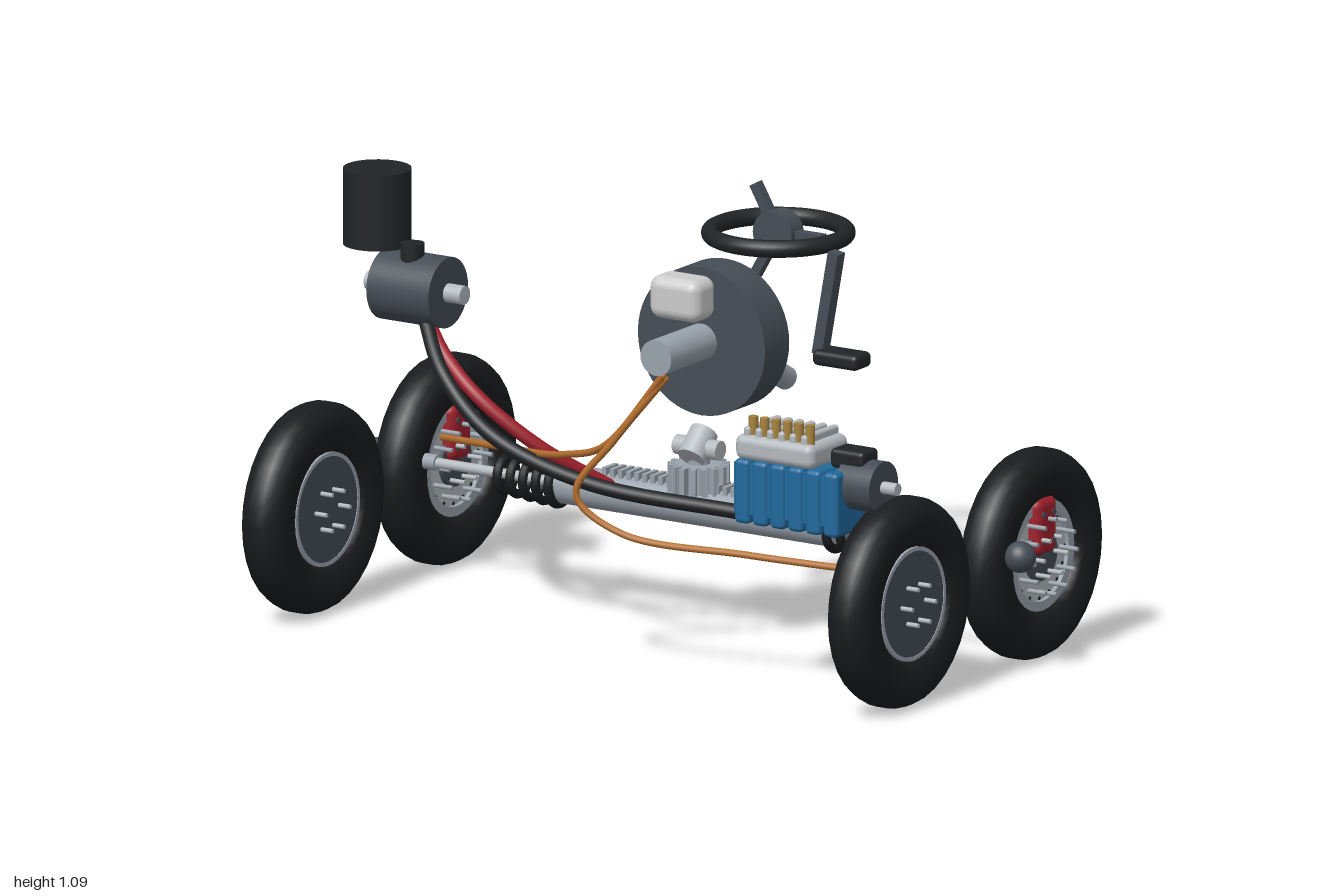
import * as THREE from 'three';
import { RoundedBoxGeometry } from 'three/addons/geometries/RoundedBoxGeometry.js';

const mat = (color) => new THREE.MeshStandardMaterial({ color });
const M = {
  rubber: mat(0x191b1e), black: mat(0x212427), dark: mat(0x454d56), steel: mat(0x9aa3ac),
  silver: mat(0xb4b9be), red: mat(0xa0202c), blue: mat(0x20699c), brass: mat(0xa88440),
  copper: mat(0xb5702f), white: mat(0xd6d6d2),
};
const V = (a) => new THREE.Vector3(...a);

export function createModel() {
  const model = new THREE.Group();

  const add = (parent, name, geometry, material, pos = [0, 0, 0], rot = [0, 0, 0]) => {
    const mesh = new THREE.Mesh(geometry, material);
    mesh.name = name;
    mesh.position.set(...pos);
    mesh.rotation.set(...rot);
    parent.add(mesh);
    return mesh;
  };
  const group = (name, parent = model, pos = [0, 0, 0]) => {
    const g = new THREE.Group();
    g.name = name;
    g.position.set(...pos);
    parent.add(g);
    return g;
  };
  const box = (p, name, size, m, pos, rot) => add(p, name, new THREE.BoxGeometry(...size), m, pos, rot);
  const round = (p, name, size, r, m, pos) => add(p, name, new RoundedBoxGeometry(...size, 4, r), m, pos);
  // Cylinder between two points
  const rod = (p, name, a, b, r, m, sides = 32) => {
    const s = V(a), e = V(b), d = e.clone().sub(s);
    const mesh = add(p, name, new THREE.CylinderGeometry(r, r, d.length(), sides), m);
    mesh.position.copy(s).add(e).multiplyScalar(0.5);
    mesh.quaternion.setFromUnitVectors(new THREE.Vector3(0, 1, 0), d.normalize());
    return mesh;
  };
  const hose = (name, pts, r, m) => {
    const curve = new THREE.CatmullRomCurve3(pts.map(V));
    add(model, name, new THREE.TubeGeometry(curve, 64, r, 10), m);
    [0, pts.length - 1].forEach((i) => add(model, name + 'End', new THREE.SphereGeometry(r, 10, 8), m, pts[i]));
  };
  // Ring whose axis is x, as a closed lathe profile
  const xRing = (p, name, inner, outer, width, m, x = 0) => add(p, name, new THREE.LatheGeometry(
    [[inner, -1], [outer, -1], [outer, -1], [outer, 1], [outer, 1], [inner, 1], [inner, 1], [inner, -1]]
      .map(([r, s]) => new THREE.Vector2(r, s * width / 2)), 40), m, [x, 0, 0], [0, 0, -Math.PI / 2]);
  const pins = (p, name, count, radius, half, r, m) => {
    for (let i = 0; i < count; i++) {
      const a = i / count * Math.PI * 2;
      const y = Math.sin(a) * radius, z = Math.cos(a) * radius;
      rod(p, name, [-half, y, z], [half, y, z], r, m, 8);
    }
  };

  // Wheels: tyre, then drum (z > 0) or drilled rotor with caliper (z < 0)
  const tyreProfile = [[0.143, -0.035], [0.16, -0.052], [0.2, -0.061], [0.232, -0.058], [0.256, -0.043], [0.266, -0.022],
    [0.268, 0], [0.266, 0.022], [0.256, 0.043], [0.232, 0.058], [0.2, 0.061], [0.16, 0.052], [0.143, 0.035], [0.143, -0.035]]
    .map((p) => new THREE.Vector2(...p));
  for (const x of [-0.875, 0.875]) for (const z of [-0.244, 0.352]) {
    const w = group(z > 0 ? 'drumWheel' : 'discWheel', model, [x, 0.268, z]);
    add(w, 'tyre', new THREE.LatheGeometry(tyreProfile, 32), M.rubber, [0, 0, 0], [0, 0, -Math.PI / 2]);
    if (z > 0) {
      xRing(w, 'rim', 0.135, 0.145, 0.09, M.steel);
      rod(w, 'drum', [-0.043, 0, 0], [0.043, 0, 0], 0.138, M.dark, 40);
    } else {
      xRing(w, 'rim', 0.118, 0.145, 0.07, M.steel);
      for (const s of [-1, 1]) xRing(w, 'rotorPlate', 0.06, 0.12, 0.012, M.silver, s * 0.018);
      for (let i = 0; i < 24; i++) {
        const a = i / 24 * Math.PI * 2;
        box(w, 'rotorVane', [0.026, 0.05, 0.005], M.steel, [0, Math.cos(a) * 0.092, Math.sin(a) * 0.092], [a, 0, 0]);
      }
      rod(w, 'hub', [-0.035, 0, 0], [0.035, 0, 0], 0.067, M.dark);
      pins(w, 'rotorPin', 12, 0.096, 0.077, 0.006, M.steel);
      pins(w, 'rotorHole', 16, 0.112, 0.026, 0.005, M.black);
      round(w, 'caliper', [0.108, 0.15, 0.095], 0.025, M.red, [0, 0.077, 0]);
      for (const dy of [0.04, 0.11]) for (const dz of [-0.022, 0.022])
        rod(w, 'caliperBolt', [-0.056, dy, dz], [0.056, dy, dz], 0.008, M.dark, 12);
    }
    pins(w, 'wheelBolt', 6, 0.053, 0.077, 0.006, M.silver);
  }

  // Steering rack with bellows, tie rods and ball joints
  const rack = group('steeringRack', model, [0, 0.307, -0.067]);
  rod(rack, 'rackTube', [-0.4, 0, 0], [0.4, 0, 0], 0.051, M.steel);
  for (let i = 0; i < 23; i++) box(rack, 'rackTooth', [0.013, 0.03, 0.055], M.steel, [-0.265 + i * 0.024, 0.05, 0]);
  for (const s of [-1, 1]) {
    for (let i = 0; i < 5; i++)
      add(rack, 'bellowsRing', new THREE.TorusGeometry(0.054 - i * 0.003, 0.012, 10, 28), M.rubber,
        [s * (0.415 + i * 0.04), 0, 0], [0, Math.PI / 2, 0]);
    rod(rack, 'tieRod', [s * 0.4, 0, 0], [s * 0.96, 0, 0], 0.013, M.silver, 16);
    rod(rack, 'tieRodEnd', [s * 0.78, 0, 0], [s * 0.96, 0, 0], 0.02, M.steel, 16);
    add(rack, 'ballJoint', new THREE.SphereGeometry(0.04, 24, 16), M.dark, [s * 0.96, 0, 0]);
  }

  // Pinion gear and universal joint
  const pinion = group('pinion', model, [0, 0.38, -0.067]);
  rod(pinion, 'gearBody', [0, -0.035, 0], [0, 0.035, 0], 0.058, M.steel);
  for (let i = 0; i < 16; i++) {
    const a = i / 16 * Math.PI * 2;
    box(pinion, 'gearTooth', [0.014, 0.07, 0.026], M.steel, [Math.sin(a) * 0.065, 0, Math.cos(a) * 0.065], [0, a, 0]);
  }
  rod(pinion, 'pinionStub', [0, 0, 0], [0, 0.075, 0], 0.028, M.steel);
  rod(pinion, 'jointCross', [-0.065, 0.075, 0], [0.065, 0.075, 0], 0.025, M.silver, 20);
  rod(pinion, 'jointYoke', [0, 0.055, 0.035], [0, 0.11, -0.025], 0.036, M.silver, 20);

  // Steering shaft and wheel
  rod(model, 'steeringShaft', [0, 0.812, 0.006], [0, 0.55, -0.462], 0.03, M.steel);
  const sw = group('steeringWheel', model, [0, 0.932, -0.426]);
  add(sw, 'wheelGrip', new THREE.TorusGeometry(0.171, 0.022, 14, 48), M.black, [0, 0, 0], [Math.PI / 2, 0, 0]);
  rod(sw, 'wheelHub', [0, 0, -0.028], [0, 0, 0.028], 0.058, M.dark);
  for (let i = 0; i < 3; i++) {
    const a = i * Math.PI * 2 / 3;
    box(sw, 'wheelSpoke', [0.135, 0.025, 0.025], M.dark, [Math.cos(a) * 0.068, Math.sin(a) * 0.068, 0], [0, 0, a]);
  }

  // Brake pedal
  box(model, 'pedalArm', [0.03, 0.27, 0.034], M.dark, [0.215, 0.802, -0.327], [0, 0, -0.18]);
  round(model, 'pedalPad', [0.135, 0.04, 0.075], 0.014, M.black, [0.255, 0.665, -0.327]);

  // Brake booster and master cylinder
  const booster = group('brakeBooster', model, [0.235, 0.832, 0]);
  rod(booster, 'boosterDrum', [0, 0, 0.167], [0, 0, 0.276], 0.19, M.dark, 48);
  rod(booster, 'masterCylinder', [0, 0, 0.27], [0, 0, 0.482], 0.046, M.steel);
  round(booster, 'fluidReservoir', [0.15, 0.11, 0.1], 0.03, M.white, [0, 0.133, 0.363]);

  // Power steering pump
  const pump = group('steeringPump', model, [0, 0.8, 0.105]);
  rod(pump, 'pumpBody', [-0.82, 0, 0], [-0.635, 0, 0], 0.09, M.dark, 36);
  rod(pump, 'pumpShaft', [-0.872, 0, 0], [-0.585, 0, 0], 0.024, M.silver, 24);
  rod(pump, 'pumpReservoir', [-0.842, 0.1, 0.007], [-0.842, 0.294, 0.007], 0.086, M.black, 36);
  rod(pump, 'pumpNeck', [-0.728, 0.07, 0.02], [-0.728, 0.12, 0.02], 0.03, M.black, 20);

  // Brake control block
  const block = group('brakeControlBlock');
  box(block, 'blockBody', [0.31, 0.13, 0.145], M.blue, [0.625, 0.535, 0.412]);
  for (let i = 0; i < 6; i++) {
    const x = 0.495 + i * 0.053;
    round(block, 'blockRib', [0.044, 0.165, 0.16], 0.012, M.blue, [x, 0.527, 0.412]);
  }
  round(block, 'blockCover', [0.235, 0.065, 0.175], 0.022, M.silver, [0.586, 0.638, 0.4]);
  for (let i = 0; i < 6; i++) {
    const x = 0.5 + i * 0.034;
    round(block, 'coverRib', [0.02, 0.03, 0.15], 0.008, M.silver, [x, 0.676, 0.4]);
    rod(block, 'blockTerminal', [x + 0.01, 0.66, 0.457], [x + 0.01, 0.717, 0.457], 0.012, M.brass, 12);
  }
  rod(block, 'blockMotor', [0.76, 0.57, 0.402], [0.862, 0.57, 0.402], 0.066, M.dark, 32);
  rod(block, 'motorShaft', [0.85, 0.57, 0.402], [0.905, 0.57, 0.402], 0.016, M.silver, 16);
  round(block, 'blockPlug', [0.1, 0.05, 0.075], 0.012, M.black, [0.775, 0.635, 0.402]);

  // Hoses and brake pipes
  hose('pressureHose', [[-0.7, 0.74, 0.115], [-0.6, 0.65, 0.165], [-0.49, 0.56, 0.176], [-0.35, 0.44, 0.11], [-0.24, 0.335, -0.02]], 0.018, M.red);
  hose('returnHose', [[-0.69, 0.74, 0.13], [-0.58, 0.62, 0.21], [-0.42, 0.49, 0.232], [-0.18, 0.39, 0.17], [0.195, 0.325, 0]], 0.019, M.black);
  hose('rearBrakePipe', [[0.235, 0.78, 0.45], [0.06, 0.58, 0.43], [-0.15, 0.495, 0.31], [-0.5, 0.41, 0.05], [-0.86, 0.335, -0.2]], 0.009, M.copper);
  hose('frontBrakePipe', [[0.235, 0.77, 0.44], [0.1, 0.6, 0.465], [0, 0.45, 0.488], [0.11, 0.36, 0.455], [0.45, 0.335, 0.385], [0.86, 0.32, 0.3]], 0.009, M.copper);

  return model;
}
